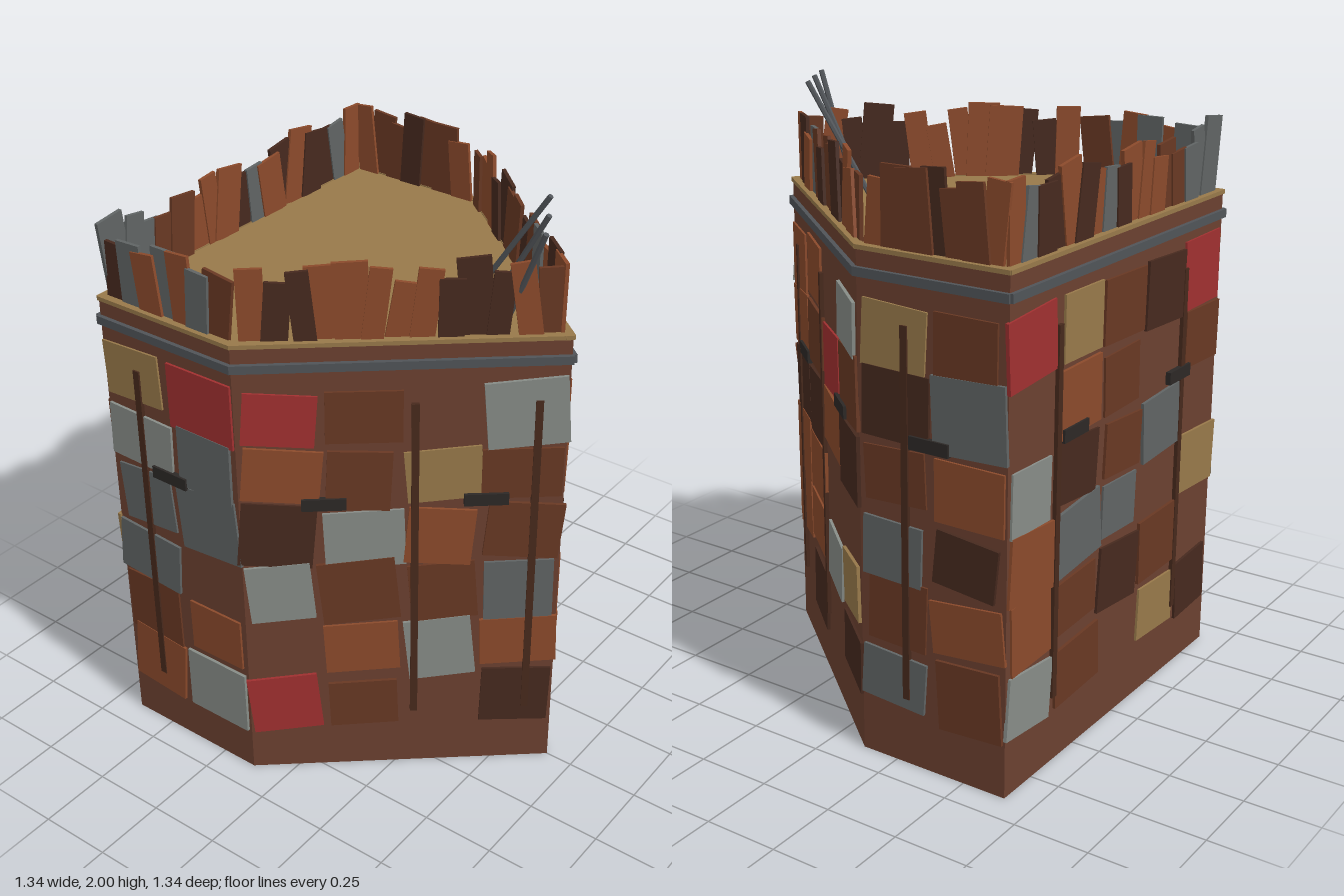
import * as THREE from 'three';

const COLORS = {
  body: 0x6b4030, rust: 0x8b4a2b, brown: 0x683823, dark: 0x46291e, grey: 0x878c87,
  slate: 0x606464, red: 0xa03030, tan: 0x98794a, iron: 0x2c2826, pole: 0x47291c, steel: 0x505458,
};
const mats = {};
for (const k in COLORS) mats[k] = new THREE.MeshStandardMaterial({ color: COLORS[k], flatShading: true });

let seed = 7;
const rnd = (a, b) => {
  seed = (seed * 16807) % 2147483647;
  return a + (b - a) * (seed / 2147483647);
};

// Walls in order around the plan: starting corner, patch colours from the top row
// down (one letter per column), pole and slot positions as fractions of the length
const WALLS = [
  { name: 'frontWall', corner: [-0.65, 0.65], poles: [0.27], slots: [0.48],
    rows: ['tr', 'gs', 'ss', 's.', 'bo', 'og'] },
  { name: 'leftFrontWall', corner: [-0.12, 0.65], poles: [0.54, 0.91], slots: [0.26, 0.76],
    rows: ['rb.g', 'obtb', 'dgob', 'gbbs', '.ogo', 'rb.d'] },
  { name: 'leftBackWall', corner: [0.655, 0], poles: [0.1, 0.49], slots: [0.21, 0.79],
    rows: ['oo.g', 'obrb', 'ddod', 'oo..', 'oogt', '.d.d'] },
  { name: 'backWall', corner: [-0.12, -0.65], poles: [0.33], slots: [0.5],
    rows: ['tb', 'ds', 'bo', 'sd', 'bo', 'sb'] },
  { name: 'rightWall', corner: [-0.65, -0.65], poles: [0.2, 0.8], slots: [0.27, 0.78],
    rows: ['rtbdr', '.ob.b', 'gdbs.', 'oss.t', 'obdb.', 'gb.td'] },
];
const LETTERS = { t: 'tan', r: 'red', o: 'rust', b: 'brown', d: 'dark', g: 'grey', s: 'slate' };
const SCRAP = ['rust', 'brown', 'slate', 'dark', 'rust', 'slate', 'dark', 'brown', 'rust'];

function box(parent, name, mat, w, h, d, x, y, z, tilt = 0) {
  const m = new THREE.Mesh(new THREE.BoxGeometry(w, h, d), mats[mat]);
  m.name = name;
  m.position.set(x, y, z);
  m.rotation.z = tilt;
  parent.add(m);
}

// Flat-bottomed prism over the whole plan
function slab(name, mat, scale, y, h) {
  const shape = new THREE.Shape(WALLS.map(({ corner: [x, z] }) => new THREE.Vector2(x * scale, -z * scale)));
  const geo = new THREE.ExtrudeGeometry(shape, { depth: h, bevelEnabled: false }).rotateX(-Math.PI / 2);
  const m = new THREE.Mesh(geo, mats[mat]);
  m.name = name;
  m.position.y = y;
  return m;
}

// One wall's dressing: local x runs along the wall, local z points outward
function wall({ name, corner: [ax, az], poles, slots, rows }, i) {
  const [bx, bz] = WALLS[(i + 1) % WALLS.length].corner;
  const L = Math.hypot(bx - ax, bz - az);
  const g = new THREE.Group();
  g.name = name;
  g.position.set(ax, 0, az);
  g.rotation.y = Math.atan2(az - bz, bx - ax);

  // Loose grid of overlapping patches
  rows.forEach((row, r) => [...row].forEach((letter, c) => {
    if (letter === '.') return;
    const cell = L / row.length;
    const x = cell * (c + 0.5) + rnd(-0.012, 0.012);
    const y = 1.395 - 0.223 * r + rnd(-0.015, 0.015);
    const layer = 0.001 + ((r * 2 + c) % 4) * 0.0012;
    box(g, 'patch', LETTERS[letter], cell * rnd(0.8, 1.02), rnd(0.17, 0.24), 0.012, x, y, layer, rnd(-0.1, 0.1));
  }));
  poles.forEach((f) => box(g, 'wallPole', 'pole', 0.024, 1.2, 0.014, f * L, 0.83, 0.006));
  slots.forEach((f) => box(g, 'slot', 'iron', 0.14, 0.042, 0.02, f * L, 1.08, 0.008));

  // Bands around the top
  box(g, 'steelBand', 'steel', L + 0.01, 0.028, 0.024, L / 2, 1.565, 0.002);
  box(g, 'rimBoard', 'tan', L + 0.005, 0.014, 0.03, L / 2, 1.637, -0.009);

  // Ragged parapet of scrap planks
  const n = Math.round(L / 0.075);
  for (let k = 0; k < n; k++) {
    const h = rnd(0.18, 0.26);
    const x = 0.03 + (L - 0.06) * (k + 0.5) / n;
    const color = SCRAP[Math.floor(rnd(0, SCRAP.length))];
    box(g, 'parapetPlank', color, rnd(0.065, 0.12), h, 0.012,
      x, 1.635 + h / 2, -0.026 + (k % 3) * 0.005, rnd(-0.17, 0.17));
  }
  return g;
}

function rod(a, b) {
  const p = new THREE.Vector3(...a), q = new THREE.Vector3(...b);
  const d = q.clone().sub(p);
  const m = new THREE.Mesh(new THREE.CylinderGeometry(0.009, 0.009, d.length(), 6), mats.steel);
  m.name = 'leaningRod';
  m.position.copy(p).add(q).multiplyScalar(0.5);
  m.quaternion.setFromUnitVectors(new THREE.Vector3(0, 1, 0), d.normalize());
  return m;
}

export function createModel() {
  const root = new THREE.Group();
  root.name = 'scrapTower';
  seed = 7;
  root.add(slab('towerBody', 'body', 1, 0, 1.63));
  root.add(slab('deck', 'tan', 0.985, 1.63, 0.01));
  WALLS.forEach((w, i) => root.add(wall(w, i)));
  // Rods sticking up at the pointed end
  root.add(rod([0.25, 1.63, -0.085], [0.48, 1.997, -0.12]));
  root.add(rod([0.35, 1.63, 0], [0.55, 1.997, 0]));
  root.add(rod([0.455, 1.63, 0.075], [0.61, 1.997, 0.112]));
  return root;
}
